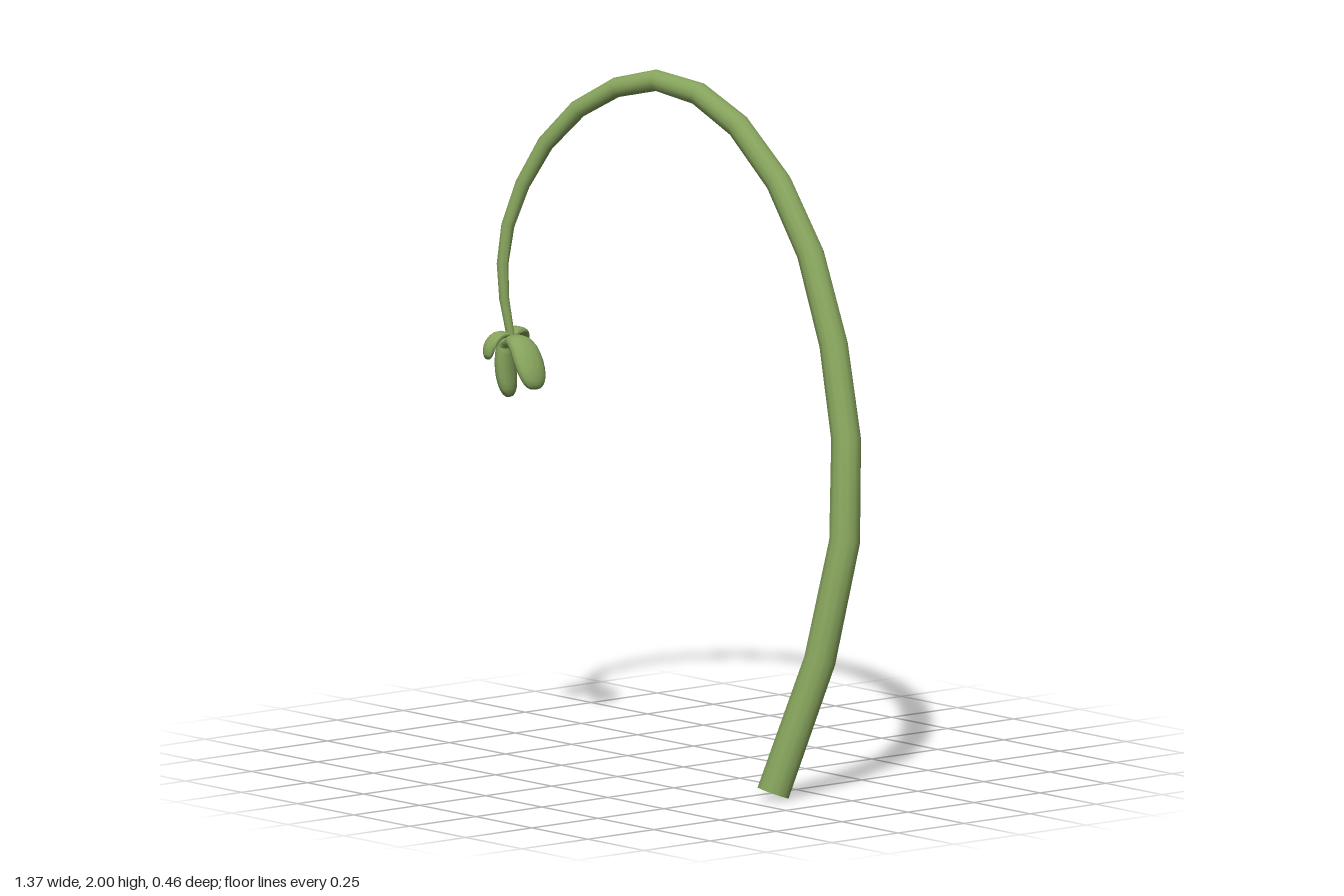
import * as THREE from 'three';
import { toCreasedNormals } from 'three/addons/utils/BufferGeometryUtils.js';

const V = (x, y, z) => new THREE.Vector3(x, y, z);

// Closed sweep of elliptical rings; size(t) gives [half width, half thickness].
function sweep(points, tangents, widthDir, size, sides) {
  const pos = [], index = [], n = points.length;
  points.forEach((p, i) => {
    const t = tangents[i];
    const w = widthDir.clone().addScaledVector(t, -widthDir.dot(t)).normalize();
    const u = new THREE.Vector3().crossVectors(t, w);
    const [a, b] = size(i / (n - 1));
    for (let j = 0; j < sides; j++) {
      const k = (j / sides) * Math.PI * 2;
      const q = p.clone().addScaledVector(w, a * Math.cos(k)).addScaledVector(u, b * Math.sin(k));
      pos.push(q.x, q.y, q.z);
    }
  });
  for (let i = 0; i < n - 1; i++) {
    for (let j = 0; j < sides; j++) {
      const a = i * sides + j, b = i * sides + ((j + 1) % sides);
      index.push(a, b, a + sides, b, b + sides, a + sides);
    }
  }
  // end caps
  const first = n * sides, last = (n - 1) * sides;
  for (const p of [points[0], points[n - 1]]) pos.push(p.x, p.y, p.z);
  for (let j = 0; j < sides; j++) {
    const k = (j + 1) % sides;
    index.push(first, k, j, first + 1, last + j, last + k);
  }
  const geo = new THREE.BufferGeometry();
  geo.setAttribute('position', new THREE.Float32BufferAttribute(pos, 3));
  geo.setIndex(index);
  return toCreasedNormals(geo, 1.0);
}

export function createModel() {
  const group = new THREE.Group();
  const green = new THREE.MeshStandardMaterial({ color: 0x86a35c });
  const add = (name, geo) => {
    const mesh = new THREE.Mesh(geo, green);
    mesh.name = name;
    group.add(mesh);
  };

  // arching stem, tapering from the base to the drooping tip
  const path = [
    V(0.575, 0.02, 0.15), V(0.63, 0.4, 0.02), V(0.635, 0.74, -0.07), V(0.577, 1.025, -0.125),
    V(0.48, 1.285, -0.16), V(0.348, 1.53, -0.185), V(0.2, 1.72, -0.19), V(0.04, 1.867, -0.173),
    V(-0.1, 1.947, -0.14), V(-0.24, 1.972, -0.1), V(-0.363, 1.94, -0.053), V(-0.472, 1.868, 0.0),
    V(-0.555, 1.762, 0.052), V(-0.607, 1.64, 0.095), V(-0.631, 1.52, 0.13), V(-0.631, 1.41, 0.15),
    V(-0.62, 1.31, 0.153), V(-0.6, 1.2, 0.145),
  ];
  const tangents = path.map((p, i) =>
    path[Math.min(i + 1, path.length - 1)].clone().sub(path[Math.max(i - 1, 0)]).normalize());
  add('stem', sweep(path, tangents, V(0, 0, 1), (t) => {
    const r = 0.049 - 0.029 * t - 0.008 * t * t;
    return [r, r];
  }, 12));

  // curled sepals: narrow at the stem, broad and rounded at the end
  const sepal = (name, pts, widthDir, width, thick) => {
    const curve = new THREE.CatmullRomCurve3(pts);
    const n = 14;
    // rings bunch up towards both ends so that the tips are round
    const ts = Array.from({ length: n + 1 }, (_, i) => (1 - Math.cos((Math.PI * i) / n)) / 2);
    add(name, sweep(ts.map((t) => curve.getPointAt(t)), ts.map((t) => curve.getTangentAt(t)),
      widthDir, (s) => {
        const round = Math.max(Math.sin(Math.PI * s), 0.02);
        const k = round ** 0.8 * (0.65 + 0.4 * s);
        return [width * k, thick * k];
      }, 14));
  };
  sepal('leftSepal', [V(-0.61, 1.195, 0.145), V(-0.545, 1.185, 0.152), V(-0.495, 1.125, 0.16), V(-0.467, 1.065, 0.162)],
    V(0, 0, 1), 0.058, 0.03);
  sepal('rightSepal', [V(-0.6, 1.195, 0.14), V(-0.645, 1.175, 0.125), V(-0.655, 1.1, 0.118), V(-0.64, 1.015, 0.115)],
    V(0.45, 0, 0.9), 0.054, 0.032);
  sepal('frontSepal', [V(-0.605, 1.2, 0.135), V(-0.61, 1.208, 0.18), V(-0.613, 1.185, 0.21), V(-0.615, 1.14, 0.222)],
    V(1, 0, 0), 0.028, 0.015);
  sepal('backSepal', [V(-0.6, 1.2, 0.155), V(-0.618, 1.213, 0.115), V(-0.632, 1.205, 0.085), V(-0.642, 1.175, 0.06)],
    V(0.9, 0, -0.4), 0.034, 0.015);

  return group;
}
